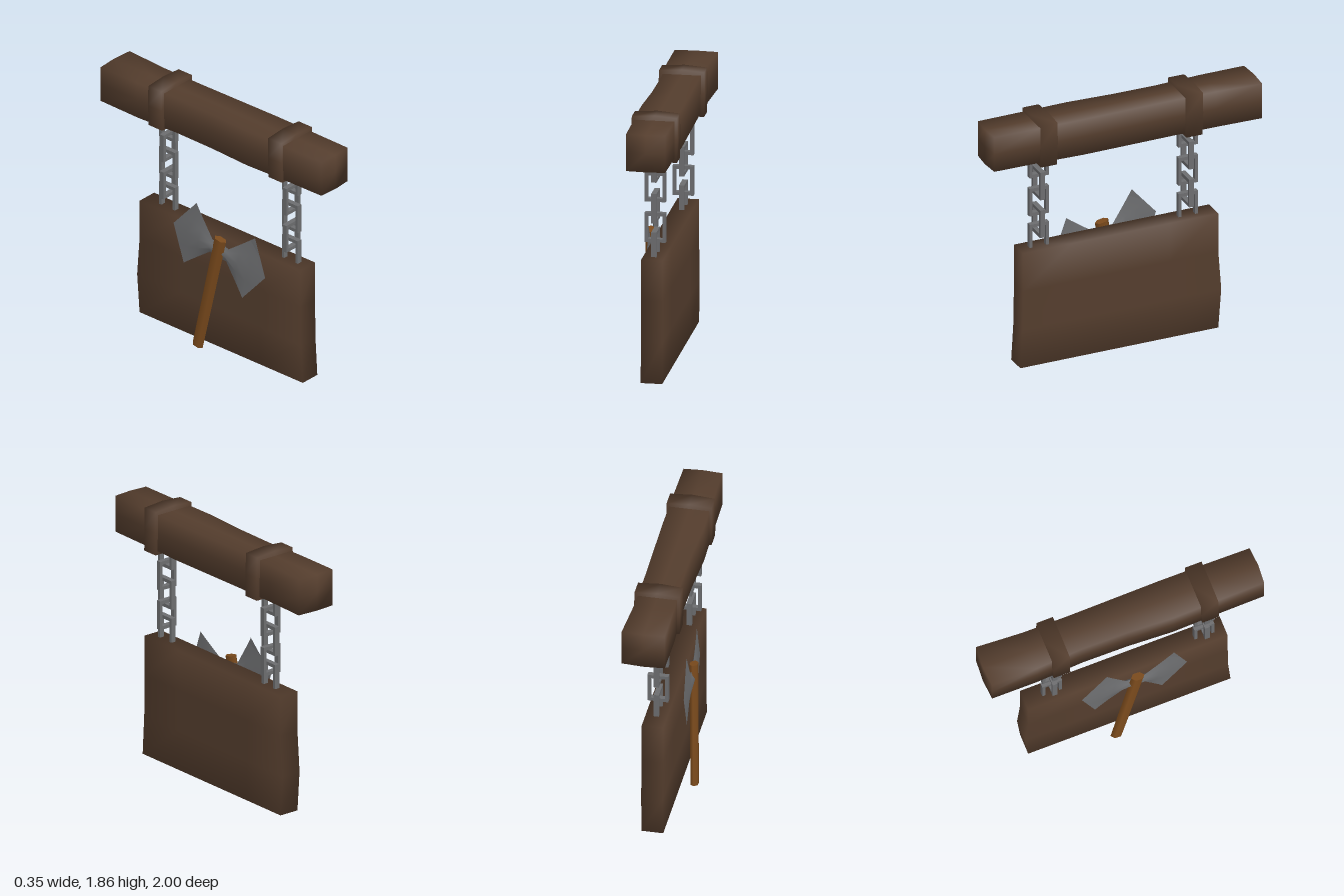
import * as THREE from 'three';
import { mergeVertices } from 'three/addons/utils/BufferGeometryUtils.js';

const material = (name, color, extra = {}) => {
  const m = new THREE.MeshStandardMaterial({ color, ...extra });
  m.name = name;
  return m;
};

// Box with shared corners and smooth normals, whose vertices are moved by a rule
function roughBox(size, segments, warp) {
  let g = new THREE.BoxGeometry(...size, ...segments);
  g.deleteAttribute('normal');
  g.deleteAttribute('uv');
  g = mergeVertices(g);
  const p = g.attributes.position, v = new THREE.Vector3();
  for (let i = 0; i < p.count; i++) {
    warp(v.fromBufferAttribute(p, i));
    p.setXYZ(i, v.x, v.y, v.z);
  }
  g.computeVertexNormals();
  return g;
}

// Rectangular chain link in the xy plane, centred on the origin
function linkGeometry() {
  const rect = (path, w, h) => {
    path.moveTo(-w, -h);
    path.lineTo(w, -h);
    path.lineTo(w, h);
    path.lineTo(-w, h);
    path.closePath();
    return path;
  };
  const shape = rect(new THREE.Shape(), 0.072, 0.104);
  shape.holes.push(rect(new THREE.Path(), 0.05, 0.08));
  return new THREE.ExtrudeGeometry(shape, { depth: 0.036, bevelEnabled: false }).translate(0, 0, -0.018);
}

// Axe blade growing along +z: each row is [z at tips, z at middle, half height, half thickness]
function bladeGeometry() {
  const rows = [
    [0, 0, 0.06, 0.026],
    [0.07, 0.07, 0.05, 0.028],
    [0.165, 0.17, 0.15, 0.02],
    [0.225, 0.28, 0.215, 0.012],
    [0.255, 0.4, 0.25, 0],
  ];
  const n = 4, pos = [], index = [];
  for (const side of [1, -1]) {
    const base = pos.length / 3;
    rows.forEach(([z0, z1, h, t]) => {
      for (let j = 0; j <= n; j++) {
        const s = (j / n) * 2 - 1, mid = 1 - Math.abs(s);
        pos.push(side * t * mid, s * h, z0 + (z1 - z0) * mid);
      }
    });
    for (let r = 0; r < rows.length - 1; r++) {
      for (let j = 0; j < n; j++) {
        const a = base + r * (n + 1) + j, b = a + 1, c = a + n + 1, d = c + 1;
        if (side > 0) index.push(a, b, c, b, d, c);
        else index.push(a, c, b, b, c, d);
      }
    }
  }
  const g = new THREE.BufferGeometry();
  g.setAttribute('position', new THREE.Float32BufferAttribute(pos, 3));
  g.setIndex(index);
  g.computeVertexNormals();
  return g;
}

export function createModel() {
  const model = new THREE.Group();
  model.name = 'hangingSign';
  const darkWood = material('darkWood', 0x543d2d);
  const handleWood = material('handleWood', 0x7a4a1c);
  const steel = material('steel', 0x6c6d6f, { side: THREE.DoubleSide });

  const add = (parent, name, geometry, mat, x = 0, y = 0, z = 0) => {
    const m = new THREE.Mesh(geometry, mat);
    m.name = name;
    m.position.set(x, y, z);
    parent.add(m);
    return m;
  };

  // Hewn beam, slightly uneven along its length
  add(model, 'beam', roughBox([0.27, 0.26, 1.98], [2, 2, 6], (v) => {
    const end = Math.abs(v.z) > 0.98;
    if (v.x < -0.1) v.x += 0.012 * Math.sin(v.z * 5 + 2.6) - (v.z > 0.9 ? 0.012 : 0);
    if (v.x > 0.1) v.x += v.z < -0.9 ? 0.018 : 0.004 * Math.sin(v.z * 4);
    if (v.y < -0.1 && !end && v.z < 0.5) v.y -= 0.006;
    if (end && Math.abs(v.x) < 0.05) v.z += Math.sign(v.z) * 0.01;
  }), darkWood, 0.015, 1.69, 0);

  // Wooden board hanging below
  add(model, 'board', roughBox([0.148, 0.864, 1.45], [1, 3, 4], (v) => {
    if (v.z > 0.7 && v.y < -0.1) v.z += v.y < -0.4 ? 0.02 : 0.003;
    if (v.z < -0.7 && v.y < -0.1 && v.y > -0.4) v.z -= 0.022;
  }), darkWood, 0.015, 0.432, 0.025);

  // Bands around the beam, each with a five-link chain
  const band = roughBox([0.31, 0.3, 0.12], [2, 2, 1], (v) => {
    if (Math.abs(v.x) < 0.01) v.y *= 1.08;
    if (Math.abs(v.y) < 0.01) v.x *= 1.02;
    if (v.x > 0.1 && v.y < 0) v.y -= 0.012;
    if (v.y < 0) v.z += 0.004;
  });
  const link = linkGeometry();
  const linkHeights = [1.494, 1.342, 1.206, 1.056, 0.934];
  for (const [side, z] of [['front', 0.59], ['back', -0.49]]) {
    add(model, side + 'Band', band, darkWood, 0.015, 1.693, z);
    const chain = new THREE.Group();
    chain.name = side + 'Chain';
    chain.position.set(0.015, 0, z + Math.sign(z) * 0.013);
    linkHeights.forEach((y, i) => {
      const m = add(chain, 'link', link, steel, 0, y, 0);
      if (i % 2 === 0) m.rotation.y = Math.PI / 2;
    });
    model.add(chain);
  }

  // Double-bladed axe leaning on the board's right side
  const axe = new THREE.Group();
  axe.name = 'axe';
  axe.position.set(-0.152, 0.01, -0.095);
  axe.rotation.set(0.194, 0, -0.045);
  const handle = new THREE.CylinderGeometry(0.05, 0.045, 0.885, 6);
  handle.scale(0.62, 1, 1).translate(0, 0.4425, 0);
  add(axe, 'axeHandle', handle, handleWood);
  const head = new THREE.Group();
  head.name = 'axeHead';
  head.position.set(0.015, 0.785, 0);
  head.rotation.y = 0.06;
  const blade = bladeGeometry();
  for (const turn of [0, Math.PI]) add(head, 'axeBlade', blade, steel).rotation.y = turn;
  axe.add(head);
  model.add(axe);

  return model;
}
